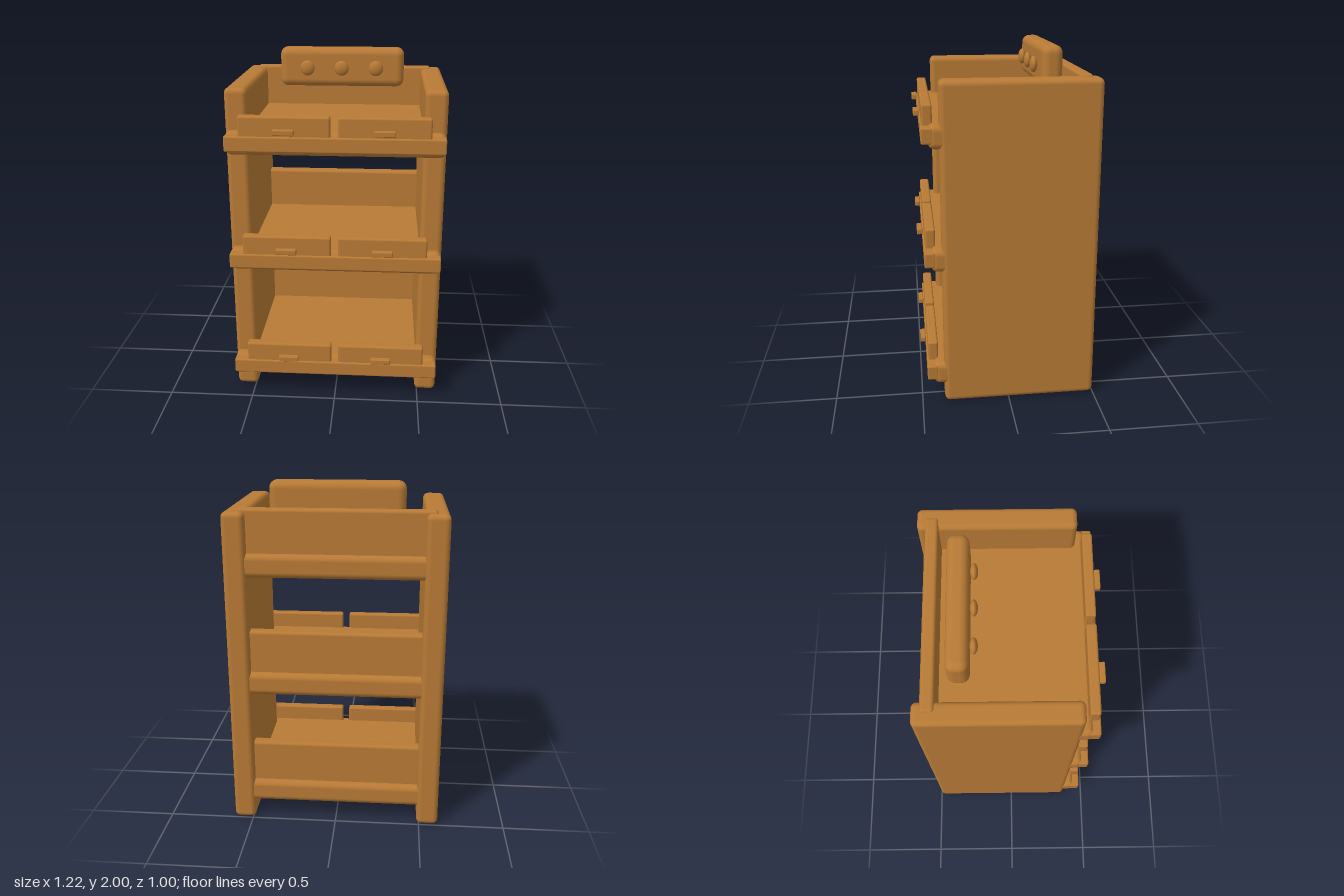
import * as THREE from 'three';
import { RoundedBoxGeometry } from 'three/addons/geometries/RoundedBoxGeometry.js';

export function createModel() {
  const model = new THREE.Group();
  model.name = 'shelfUnit';
  const wood = new THREE.MeshStandardMaterial({ color: 0xb87a35 });
  wood.name = 'warm wood';

  // Rounded board given by its extents on each axis
  function board(name, [x0, x1], [y0, y1], [z0, z1], radius, parent = model) {
    const geometry = new RoundedBoxGeometry(x1 - x0, y1 - y0, z1 - z0, 3, radius);
    const mesh = new THREE.Mesh(geometry, wood);
    mesh.name = name;
    mesh.position.set((x0 + x1) / 2, (y0 + y1) / 2, (z0 + z1) / 2);
    parent.add(mesh);
    return mesh;
  }

  // Side panels
  board('leftPanel', [0.485, 0.612], [0, 1.853], [-0.5, 0.37], 0.03);
  board('rightPanel', [-0.612, -0.485], [0, 1.853], [-0.5, 0.37], 0.03);

  // Three tiers: shelf, front lip, back board and a pair of label plates
  for (const [i, y] of [0.112, 0.802, 1.492].entries()) {
    const tier = new THREE.Group();
    tier.name = `tier${i + 1}`;
    tier.position.y = y;
    model.add(tier);
    board('shelf', [-0.608, 0.608], [0, 0.132], [-0.488, 0.43], 0.035, tier);
    board('frontLip', [-0.605, 0.605], [0.03, 0.118], [0.405, 0.468], 0.01, tier);
    board('backBoard', [-0.545, 0.545], [0.1, 0.375], [-0.452, -0.382], 0.018, tier);
    for (const side of [-1, 1]) {
      const cx = side * 0.273;
      board('labelPlate', [cx - 0.252, cx + 0.252], [0.09, 0.228], [0.403, 0.46], 0.012, tier);
      board('plateHandle', [cx - 0.058, cx + 0.058], [0.132, 0.164], [0.468, 0.5], 0.006, tier);
    }
  }

  // Control panel with three flattened knobs
  board('controlPanel', [-0.377, 0.377], [1.765, 2], [-0.325, -0.207], 0.045);
  const knobGeometry = new THREE.SphereGeometry(1, 20, 14);
  for (const x of [-0.208, 0, 0.208]) {
    const knob = new THREE.Mesh(knobGeometry, wood);
    knob.name = 'knob';
    knob.scale.set(0.043, 0.045, 0.021);
    knob.position.set(x, 1.882, -0.186);
    model.add(knob);
  }

  return model;
}
